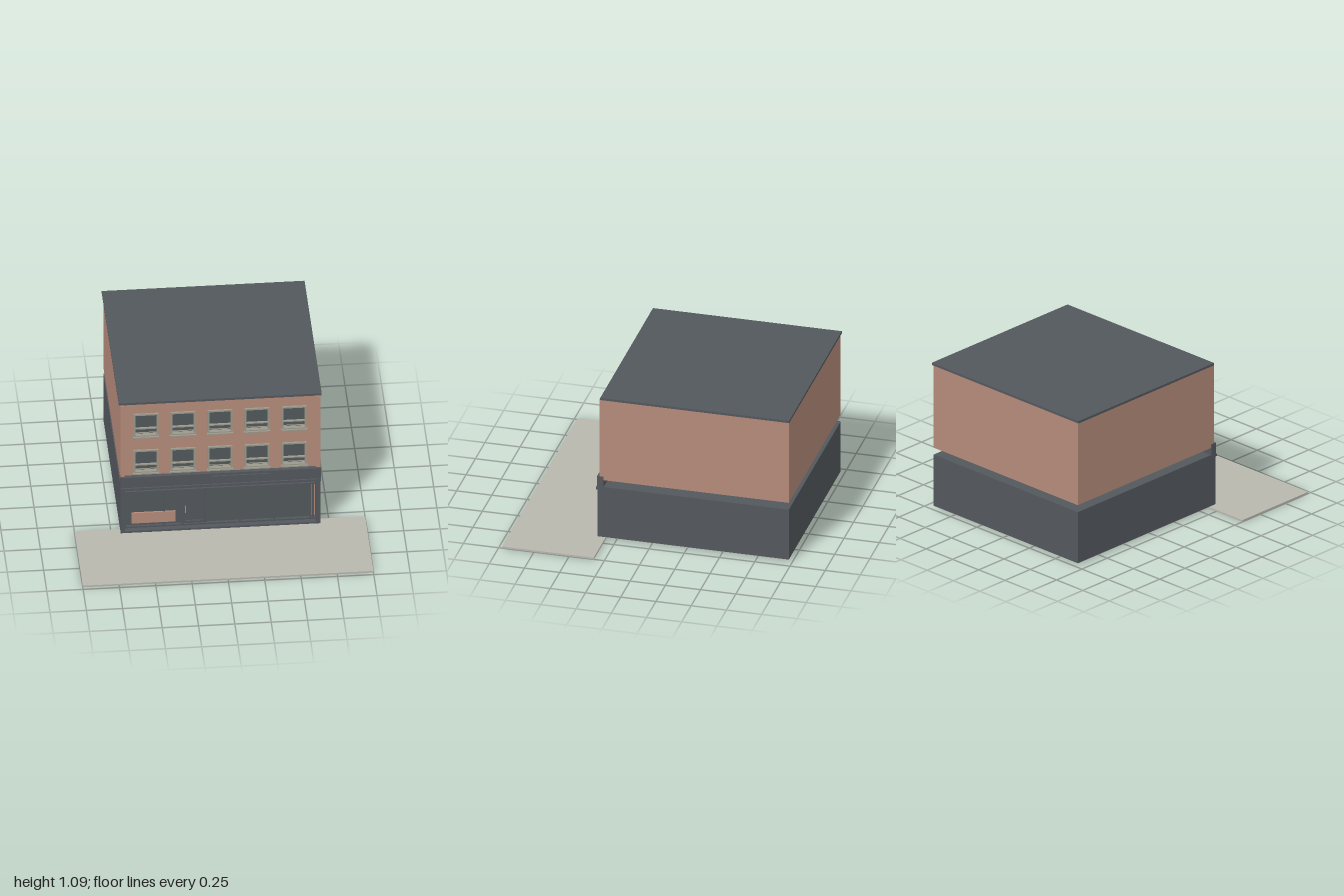
import * as THREE from 'three';

export function createModel() {
  const model = new THREE.Group();
  const mat = (name, color) => {
    const m = new THREE.MeshStandardMaterial({ color });
    m.name = name;
    return m;
  };
  const slate = mat('slate paint', 0x53585d);
  const glass = mat('dark glass', 0x52585c);
  const brick = mat('brick', 0xb58b7a);
  const paving = mat('paving', 0xb9b7ae);
  const trim = mat('window trim', 0x9c9a8d);
  const cream = mat('cream', 0xcfc0ae);

  // Box given by its limits on each axis
  const box = (name, m, x0, x1, y0, y1, z0, z1, parent = model) => {
    const mesh = new THREE.Mesh(new THREE.BoxGeometry(x1 - x0, y1 - y0, z1 - z0), m);
    mesh.position.set((x0 + x1) / 2, (y0 + y1) / 2, (z0 + z1) / 2);
    mesh.name = name;
    parent.add(mesh);
  };
  const rect = (Type, x0, x1, y0, y1) => {
    const p = new Type();
    p.moveTo(x0, y0);
    p.lineTo(x1, y0);
    p.lineTo(x1, y1);
    p.lineTo(x0, y1);
    p.closePath();
    return p;
  };
  // Extruded panel with rectangular openings
  const pierced = (name, m, outer, holes, z0, z1, parent = model) => {
    const shape = rect(THREE.Shape, ...outer);
    holes.forEach((h) => shape.holes.push(rect(THREE.Path, ...h)));
    const geo = new THREE.ExtrudeGeometry(shape, { depth: z1 - z0, bevelEnabled: false });
    const mesh = new THREE.Mesh(geo, m);
    mesh.position.z = z0;
    mesh.name = name;
    parent.add(mesh);
  };

  // Main masses, with an open gap between the storeys
  box('pavement', paving, -1, 1, 0, 0.013, 0.325, 0.975);
  box('floorSlab', paving, -0.685, 0.685, 0.012, 0.016, -0.973, 0.325);
  box('groundFloor', slate, -0.687, 0.687, 0.016, 0.4, -0.975, 0.325);
  box('upperFloors', brick, -0.687, 0.687, 0.453, 1.073, -0.975, 0.338);
  box('roof', slate, -0.698, 0.698, 1.073, 1.09, -0.98, 0.36);

  // Upper facade with two rows of five sash windows
  const openings = [];
  for (const y of [0.507, 0.81]) {
    for (let i = -2; i <= 2; i++) {
      const x = i * 0.255 - 0.002;
      openings.push([x - 0.082, x + 0.082, y, y + 0.182]);
    }
  }
  pierced('facade', brick, [-0.687, 0.687, 0.453, 1.073], openings, 0.338, 0.356);
  for (const s of [-1, 1]) {
    const x = s * 0.673;
    box('brickPier', brick, x - 0.014, x + 0.014, 0.48, 1.073, 0.356, 0.37);
  }
  for (const [x0, x1, y0, y1] of openings) {
    const w = new THREE.Group();
    w.name = 'window';
    model.add(w);
    box('pane', glass, x0, x1, y0, y1, 0.338, 0.342, w);
    pierced('windowFrame', trim, [x0 - 0.003, x1 + 0.003, y0, y1 + 0.003],
      [[x0 + 0.008, x1 - 0.008, y0 + 0.008, y1 - 0.008]], 0.342, 0.37, w);
    box('meetingRail', trim, x0 + 0.008, x1 - 0.008, y0 + 0.052, y0 + 0.06, 0.342, 0.358, w);
    box('lowerRail', trim, x0 + 0.008, x1 - 0.008, y0 + 0.014, y0 + 0.018, 0.342, 0.348, w);
    box('sill', trim, x0 - 0.008, x1 + 0.008, y0 - 0.008, y0, 0.35, 0.382, w);
  }

  // Shopfront surround: end pilasters, fascia, cornice and blank sign board
  for (const s of [-1, 1]) {
    const x = s * 0.672;
    box('pilaster', slate, x - 0.015, x + 0.015, 0.016, 0.4, 0.325, 0.383);
  }
  box('fascia', slate, -0.69, 0.69, 0.395, 0.48, 0.34, 0.385);
  box('fasciaSoffit', slate, -0.657, 0.657, 0.372, 0.4, 0.325, 0.383);
  box('cornice', slate, -0.69, 0.69, 0.376, 0.394, 0.383, 0.394);
  box('signBoard', slate, -0.075, 0.342, 0.418, 0.462, 0.385, 0.394);
  box('threshold', slate, -0.657, 0.657, 0.016, 0.03, 0.325, 0.383);

  // Glazing bars
  const bars = [[-0.657, -0.645], [-0.39, -0.378], [-0.268, -0.247], [-0.105, -0.09],
    [0.13, 0.144], [0.365, 0.38], [0.615, 0.628]];
  for (const [a, b] of bars) box('mullion', slate, a, b, 0.03, 0.335, 0.325, 0.345);
  box('transom', slate, -0.657, 0.657, 0.325, 0.337, 0.325, 0.352);
  box('bottomRail', slate, -0.657, 0.657, 0.03, 0.042, 0.325, 0.347);
  for (let i = 0; i < bars.length - 1; i++) {
    box('shopPane', glass, bars[i][1], bars[i + 1][0], 0.042, 0.325, 0.325, 0.328);
  }

  // Door leaf and handle
  pierced('doorFrame', slate, [-0.247, -0.105, 0.042, 0.316],
    [[-0.236, -0.116, 0.06, 0.306]], 0.328, 0.338);
  box('doorHandle', trim, -0.24, -0.236, 0.13, 0.19, 0.338, 0.342);

  // Window display, brick return and lamps above the transom
  box('displayPanel', brick, -0.61, -0.307, 0.068, 0.154, 0.336, 0.348);
  box('displayShelf', slate, -0.61, -0.307, 0.058, 0.068, 0.328, 0.35);
  box('brickReturn', brick, 0.629, 0.655, 0.05, 0.325, 0.325, 0.33);
  box('returnBar', slate, 0.634, 0.645, 0.042, 0.325, 0.33, 0.345);
  for (const [a, b] of [[-0.37, -0.27], [0.05, 0.14], [0.38, 0.5]]) {
    box('brickStrip', brick, a, b, 0.367, 0.371, 0.325, 0.329);
  }
  for (const x of [-0.04, 0.483]) {
    box('lamp', cream, x - 0.021, x + 0.021, 0.338, 0.36, 0.325, 0.331);
  }
  return model;
}
